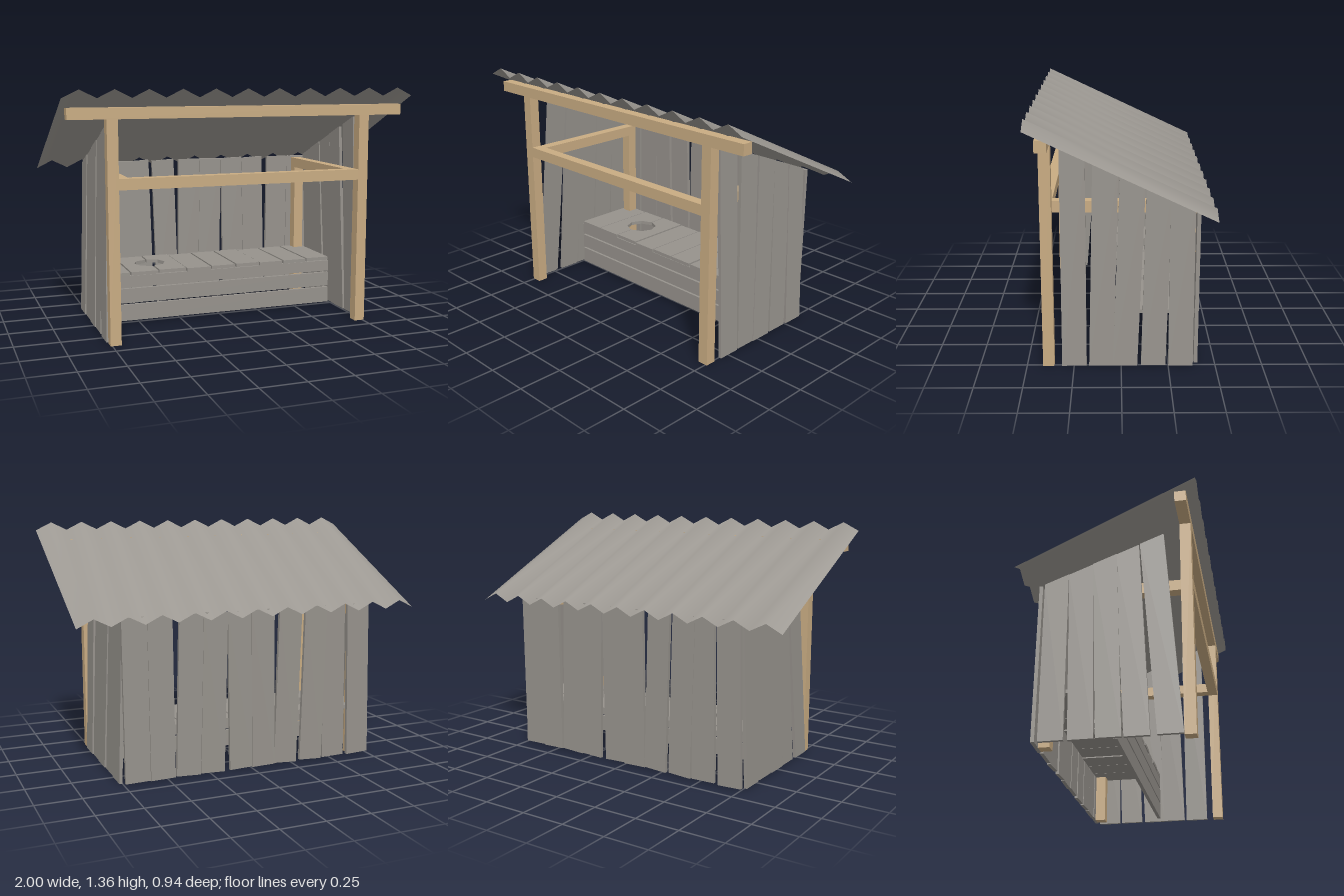
import * as THREE from 'three';

const timber = new THREE.MeshStandardMaterial({ color: 0xc8ab82 });
timber.name = 'timber';
const boards = new THREE.MeshStandardMaterial({ color: 0x96928c });
boards.name = 'weathered boards';
const sheet = new THREE.MeshStandardMaterial({ color: 0x9c9892, side: THREE.DoubleSide });
sheet.name = 'roof sheet';

export function createModel() {
  const model = new THREE.Group();
  model.name = 'openShelter';

  const add = (geometry, material, name, parent = model) => {
    const mesh = new THREE.Mesh(geometry, material);
    mesh.name = name;
    parent.add(mesh);
    return mesh;
  };
  const group = (name) => {
    const g = new THREE.Group();
    g.name = name;
    model.add(g);
    return g;
  };
  // Box given by its low and high limits on each axis
  const box = (x0, x1, y0, y1, z0, z1, material, name, parent) => {
    const g = new THREE.BoxGeometry(x1 - x0, y1 - y0, z1 - z0);
    g.translate((x0 + x1) / 2, (y0 + y1) / 2, (z0 + z1) / 2);
    return add(g, material, name, parent);
  };
  // Flat board cut from an outline
  const cut = (points, depth) => new THREE.ExtrudeGeometry(
    new THREE.Shape(points.map(([x, y]) => new THREE.Vector2(x, y))),
    { depth, bevelEnabled: false });

  // Timber frame
  const frame = group('frame');
  for (const s of [-1, 1]) {
    const span = (a, b) => (s > 0 ? [a, b] : [-b, -a]);
    box(...span(0.70, 0.76), 0, 1.205, 0.355, 0.415, timber, 'frontPost', frame);
    box(...span(0.64, 0.70), 0, 0.895, -0.385, -0.325, timber, 'rearPost', frame);
    box(...span(0.64, 0.70), 0.835, 0.895, -0.325, 0.355, timber, 'sideRail', frame);
  }
  box(-0.965, 0.965, 1.205, 1.265, 0.355, 0.415, timber, 'topBeam', frame);
  box(-0.70, 0.70, 0.835, 0.895, 0.355, 0.415, timber, 'frontRail', frame);

  // Side walls: front edge of each plank at the bottom and at the top
  const sideWidth = 0.13, thick = 0.018;
  const roofLine = (z) => 1.068 + 0.4 * z;
  const sides = {
    leftWall: [[0.313, 0.313], [0.17, 0.145], [0.045, 0.005], [-0.105, -0.13], [-0.25, -0.25]],
    rightWall: [[0.355, 0.265], [0.19, 0.13], [0.05, 0.01], [-0.09, -0.12], [-0.24, -0.25]],
  };
  for (const [name, planks] of Object.entries(sides)) {
    const left = name === 'leftWall';
    const wall = group(name);
    planks.forEach(([zb, zt], i) => {
      const g = cut([
        [-zb, 0.005], [-zb + sideWidth, 0.005],
        [-zt + sideWidth, roofLine(zt - sideWidth)], [-zt, roofLine(zt)],
      ], thick);
      g.rotateY(Math.PI / 2);
      g.translate(-thick / 2, 0, 0);
      g.rotateZ(left ? 0.034 : -0.034);
      const x = 0.762 - (i % 2) * 0.004;
      g.translate(left ? x : -x, 0, 0);
      add(g, boards, 'sidePlank', wall);
    });
  }

  // Back wall: left edge of each plank at the bottom and at the top
  const backWall = group('backWall');
  const backWidth = 0.14;
  [[-0.754, -0.737], [-0.59, -0.581], [-0.44, -0.466], [-0.278, -0.305], [-0.14, -0.13],
    [-0.005, 0.01], [0.17, 0.151], [0.312, 0.29], [0.46, 0.47], [0.602, 0.61]]
    .forEach(([xb, xt], i) => {
      const rise = (xt - xb) * 0.15;
      const g = cut([
        [xb, 0.008 + rise], [xb + backWidth, 0.008 - rise],
        [xt + backWidth, 0.905 - rise], [xt, 0.905 + rise],
      ], 0.02);
      g.translate(0, 0, -0.41 + (i % 2) * 0.003);
      add(g, boards, 'backPlank', backWall);
    });

  // Bench front boards
  const bench = group('bench');
  [[0.015, 0.11], [0.12, 0.205], [0.215, 0.28]].forEach(([y0, y1]) =>
    box(-0.72, 0.72, y0, y1, 0, 0.02, boards, 'benchFrontBoard', bench));

  // Seat boards, the two around the hole each notched by half an octagon
  const seams = [-0.72, -0.55, -0.38, -0.21, -0.055, 0.1, 0.255, 0.41, 0.565, 0.72];
  const gap = 0.004, radius = 0.09, holeZ = -0.19;
  for (let i = 0; i < seams.length - 1; i++) {
    const x0 = seams[i] + gap, x1 = seams[i + 1] - gap;
    const front = 0.02 + (i % 2) * 0.004, back = -0.388;
    const outline = [[x0, -front], [x1, -front], [x1, -back], [x0, -back]];
    if (i === 1 || i === 2) {
      const notch = [];
      for (let k = 0; k <= 4; k++) {
        const a = (k / 4) * Math.PI;
        const bulge = Math.sin(a) * radius;
        notch.push([i === 1 ? x1 - bulge : x0 + bulge, -holeZ - Math.cos(a) * radius]);
      }
      if (i === 1) outline.splice(2, 0, ...notch);
      else outline.push(...notch.reverse());
    }
    const g = cut(outline, 0.02);
    g.rotateX(-Math.PI / 2);
    g.translate(0, 0.28 + (i % 3) * 0.002, 0);
    add(g, boards, 'seatBoard', bench);
  }

  // Corrugated roof sheet, eleven ridges, sloping to the back
  const positions = [], index = [], folds = 22;
  for (let i = 0; i <= folds; i++) {
    const x = -1 + (2 * i) / folds, lift = (i % 2) * 0.045;
    positions.push(x, 1.315 + lift, 0.468, x, 0.873 + lift, -0.468);
    if (i < folds) {
      const f = 2 * i;
      index.push(f, f + 2, f + 3, f, f + 3, f + 1);
    }
  }
  const roof = new THREE.BufferGeometry();
  roof.setAttribute('position', new THREE.Float32BufferAttribute(positions, 3));
  roof.setIndex(index);
  roof.computeVertexNormals();
  add(roof, sheet, 'roof');

  return model;
}
